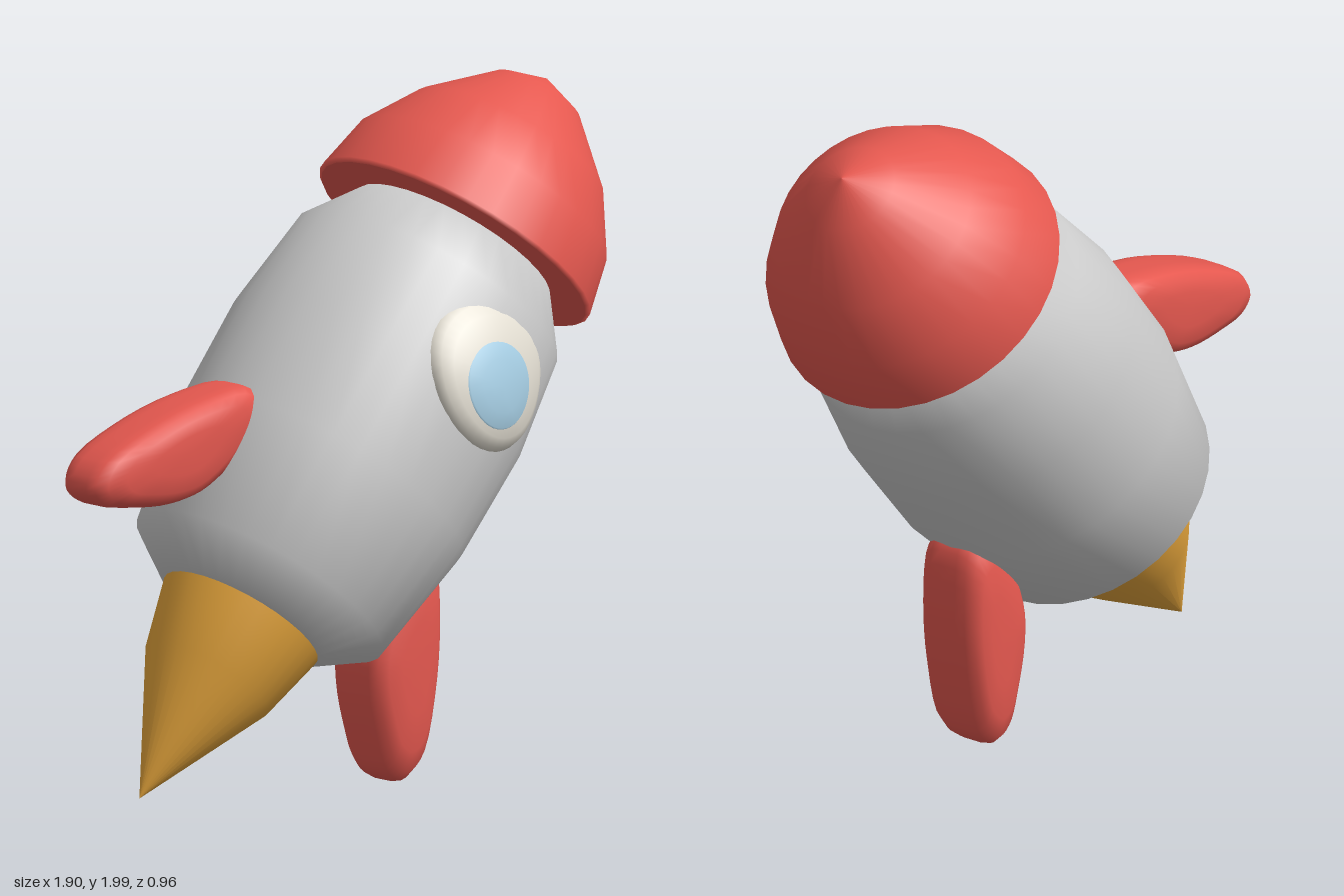
import * as THREE from 'three';
import { mergeVertices } from 'three/addons/utils/BufferGeometryUtils.js';

const V = (x, y) => new THREE.Vector2(x, y);
const material = color => new THREE.MeshStandardMaterial({ color });
const RED = material(0xe5584f), GREY = material(0xcccccc), ORANGE = material(0xe5a53c);
const CREAM = material(0xe6e1d5), BLUE = material(0xa8d0e6);

function mesh(name, geometry, mat) {
  const m = new THREE.Mesh(geometry, mat);
  m.name = name;
  return m;
}

// Surface of revolution; a repeated point makes a sharp edge
const lathe = (points, segments = 32) =>
  new THREE.LatheGeometry(points.map(p => V(...p)), segments);

// Moves every vertex by a rule, then rebuilds smooth normals without a seam
function reshape(geometry, rule) {
  const pos = geometry.attributes.position, uv = geometry.attributes.uv;
  const v = new THREE.Vector3();
  for (let i = 0; i < pos.count; i++) {
    v.fromBufferAttribute(pos, i);
    rule(v, uv.getX(i), uv.getY(i));
    pos.setXYZ(i, v.x, v.y, v.z);
  }
  geometry.deleteAttribute('uv');
  geometry.deleteAttribute('normal');
  const merged = mergeVertices(geometry, 1e-5);
  merged.computeVertexNormals();
  return merged;
}

// Leaf-shaped fin: a rounded slab whose circular section follows an outline
function finGeometry() {
  const outline = new THREE.CatmullRomCurve3([
    [0.775, 0.558], [0.793, 0.635], [0.711, 0.817], [0.578, 1.006], [0.455, 1.122],
    [0.39, 1.11], [0.37, 0.97], [0.424, 0.786], [0.501, 0.69], [0.621, 0.6], [0.715, 0.549],
  ].map(([x, y]) => new THREE.Vector3(x, y, 0)), true);
  const centre = new THREE.Vector3(0.575, 0.83, 0);
  const half = [[0, 0.115], [0.4, 0.114], [0.72, 0.108], [0.9, 0.09], [0.98, 0.062], [1, 0.03]];
  const profile = [...half.map(([r, h]) => [r, -h]), ...half.slice().reverse()];
  return reshape(lathe(profile, 40), (v, u) => {
    const scale = Math.hypot(v.x, v.z), height = v.y;
    v.lerpVectors(centre, outline.getPoint(u % 1), scale);
    v.z = height;
  });
}

// Low dome wrapped over the front of the hull
function wrappedDome(radiusX, radiusY, profile, centreY) {
  return reshape(lathe(profile, 40), v => {
    const x = v.x * radiusX, y = centreY - v.z * radiusY;
    const hull = 0.462 - 0.55 * Math.max(0, y - 1.38) ** 2 - 0.06 * Math.max(0, y - 1.43);
    v.set(x, y, Math.sqrt(hull * hull - x * x) + v.y);
  });
}

export function createModel() {
  const model = new THREE.Group();
  model.name = 'rocket';

  // Everything is built upright from the flame tip, then tilted
  const rocket = new THREE.Group();
  rocket.name = 'tiltedRocket';
  rocket.position.set(-0.71, 0.08, -0.015);
  rocket.rotation.z = -THREE.MathUtils.degToRad(40);
  model.add(rocket);

  // Hull
  rocket.add(mesh('hull', lathe([
    [0, 0.61], [0.25, 0.61], [0.397, 0.723], [0.457, 1.088], [0.462, 1.426],
    [0.421, 1.728], [0.305, 1.895], [0, 1.895],
  ]), GREY));

  // Nose cone with a flat, overhanging underside
  rocket.add(mesh('noseCone', lathe([
    [0, 1.885], [0.425, 1.885], [0.425, 1.885], [0.437, 1.895], [0.402, 2.06],
    [0.303, 2.223], [0.138, 2.388], [0, 2.448],
  ]), RED));

  // Flame
  rocket.add(mesh('flame', lathe([
    [0, 0], [0.198, 0.405], [0.248, 0.61], [0.248, 0.61], [0, 0.612],
  ]), ORANGE));

  // Fins on both sides
  const fin = finGeometry();
  ['leftFin', 'rightFin'].forEach((name, i) => {
    const m = mesh(name, fin, RED);
    m.rotation.y = i * Math.PI;
    rocket.add(m);
  });

  // Window frame and glass
  rocket.add(mesh('windowFrame', wrappedDome(0.236, 0.208, [
    [1, -0.03], [1, 0.005], [0.93, 0.022], [0.8, 0.031], [0.55, 0.036], [0.3, 0.036], [0, 0.036],
  ], 1.51), CREAM));
  rocket.add(mesh('windowGlass', wrappedDome(0.135, 0.125, [
    [1, 0.03], [0.95, 0.037], [0.6, 0.039], [0.3, 0.04], [0, 0.04],
  ], 1.485), BLUE));

  return model;
}
